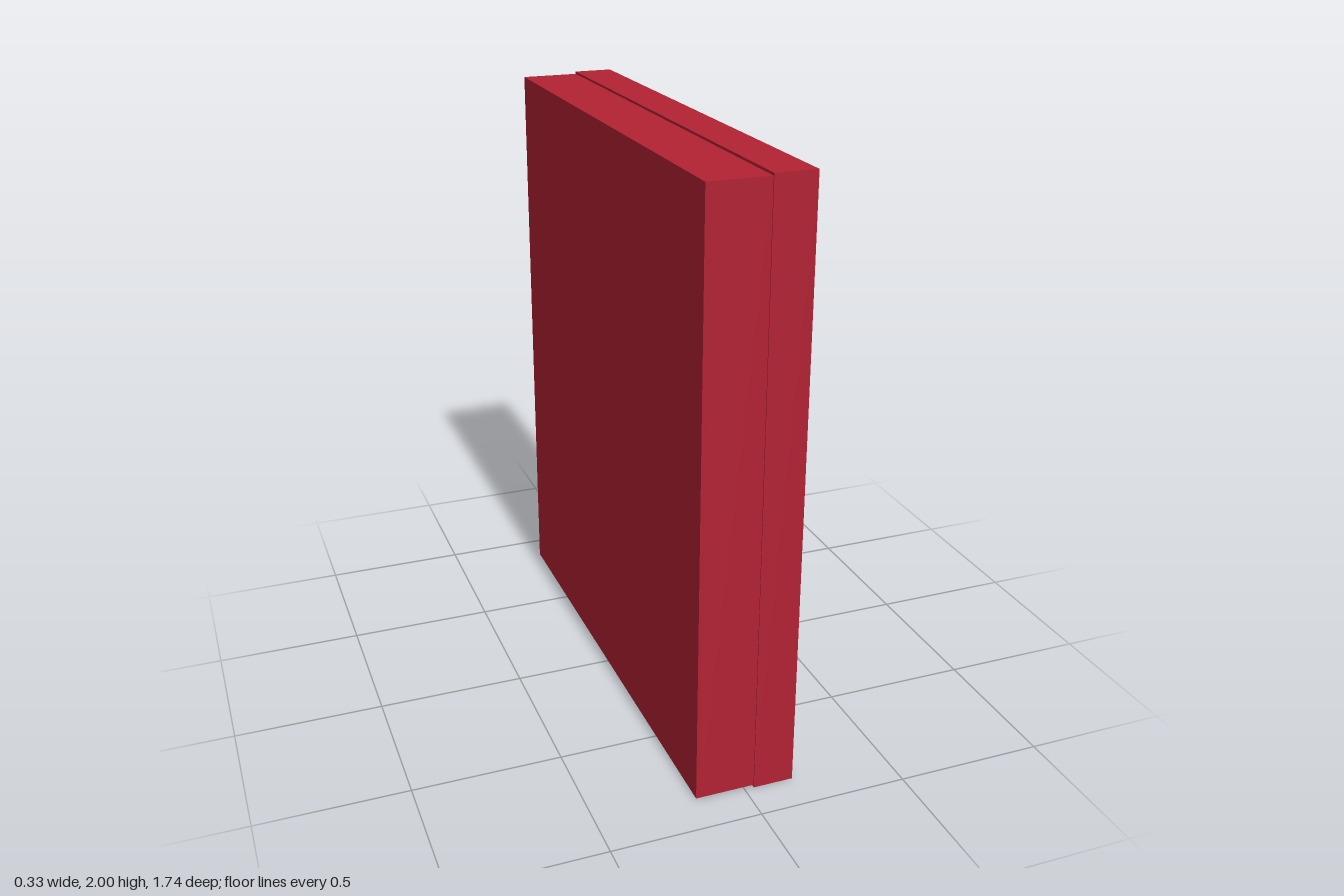
import * as THREE from 'three';

// Trace a rectangle, optionally with rounded corners, centred on (cx, cy)
function rect(path, cx, cy, w, h, r = 0) {
  const x0 = cx - w / 2, x1 = cx + w / 2, y0 = cy - h / 2, y1 = cy + h / 2;
  path.moveTo(x0 + r, y0);
  path.lineTo(x1 - r, y0);
  if (r) path.quadraticCurveTo(x1, y0, x1, y0 + r);
  path.lineTo(x1, y1 - r);
  if (r) path.quadraticCurveTo(x1, y1, x1 - r, y1);
  path.lineTo(x0 + r, y1);
  if (r) path.quadraticCurveTo(x0, y1, x0, y1 - r);
  path.lineTo(x0, y0 + r);
  if (r) path.quadraticCurveTo(x0, y0, x0 + r, y0);
  return path;
}

export function createModel() {
  const model = new THREE.Group();
  const red = new THREE.MeshStandardMaterial({ color: 0xb22234 });
  red.name = 'red';

  // Upright slab from x0 to x1, with two tall openings side by side if wanted
  function slab(name, x0, x1, depth, height, open) {
    const shape = rect(new THREE.Shape(), 0, 1, depth, height);
    if (open) {
      for (const side of [-1, 1]) {
        shape.holes.push(rect(new THREE.Path(), side * 0.423, 1, 0.813, 1.916, 0.008));
      }
    }
    const geometry = new THREE.ExtrudeGeometry(shape, {
      depth: x1 - x0, bevelEnabled: false, curveSegments: 3,
    });
    geometry.rotateY(Math.PI / 2);
    geometry.translate(x0, 0, 0);
    const mesh = new THREE.Mesh(geometry, red);
    mesh.name = name;
    model.add(mesh);
  }

  // Slightly larger rim around the open side, with its middle divider
  slab('openRim', 0.032, 0.167, 1.74, 2, true);
  // Case walls and divider behind the rim
  slab('caseWalls', -0.153, 0.032, 1.734, 1.984, true);
  // Closed panel at the rear of both compartments
  slab('backPanel', -0.167, -0.153, 1.734, 1.984, false);

  return model;
}
